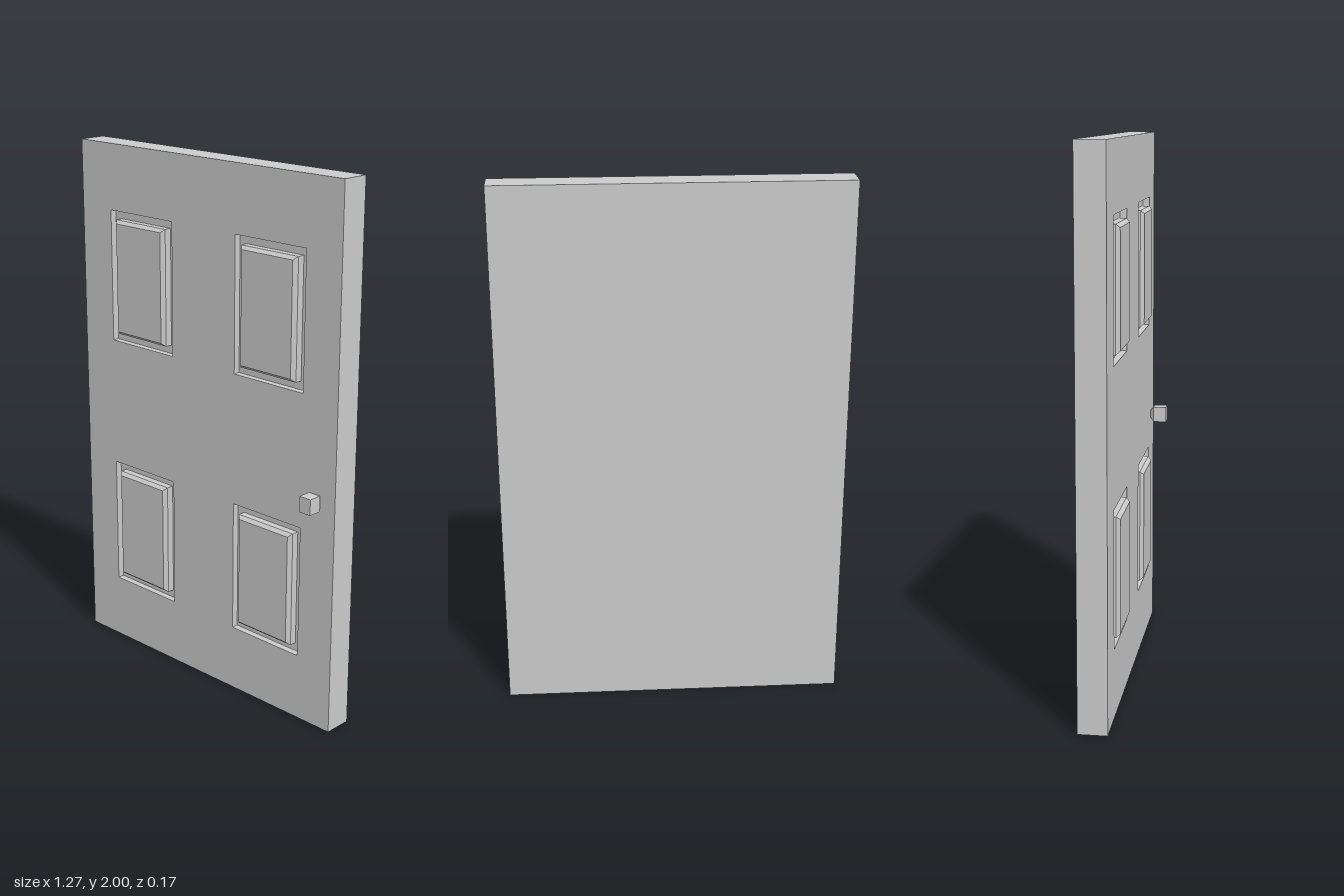
import * as THREE from 'three';

const material = new THREE.MeshStandardMaterial({ color: 0xcccccc, flatShading: true });

const BACK = -0.085, FLOOR = -0.004, FACE = 0.021;
const WIDTH = 1.268, HEIGHT = 2;
const PANEL_X = 0.318, PANEL_YS = [0.503, 1.502];

function addMesh(parent, name, geometry) {
  const mesh = new THREE.Mesh(geometry, material);
  mesh.name = name;
  parent.add(mesh);
  return mesh;
}

// Box along z whose front face may differ in size from its back face
function taperedBox(w0, h0, z0, w1, h1, z1) {
  const geometry = new THREE.BoxGeometry(1, 1, z1 - z0);
  geometry.translate(0, 0, (z0 + z1) / 2);
  const p = geometry.attributes.position;
  const middle = (z0 + z1) / 2;
  for (let i = 0; i < p.count; i++) {
    const front = p.getZ(i) > middle;
    p.setX(i, p.getX(i) * (front ? w1 : w0));
    p.setY(i, p.getY(i) * (front ? h1 : h0));
  }
  geometry.computeVertexNormals();
  return geometry;
}

function rectangle(target, x, y, w, h) {
  target.moveTo(x - w / 2, y - h / 2);
  target.lineTo(x + w / 2, y - h / 2);
  target.lineTo(x + w / 2, y + h / 2);
  target.lineTo(x - w / 2, y + h / 2);
  target.closePath();
  return target;
}

export function createModel() {
  const door = new THREE.Group();
  door.name = 'door';

  // Solid back of the slab; its front is the floor of the recesses
  addMesh(door, 'slabCore', taperedBox(WIDTH, HEIGHT, BACK, WIDTH, HEIGHT, FLOOR)).position.y = HEIGHT / 2;

  // Front layer with four recess openings
  const face = rectangle(new THREE.Shape(), 0, HEIGHT / 2, WIDTH, HEIGHT);
  for (const side of [-1, 1]) {
    for (const y of PANEL_YS) {
      face.holes.push(rectangle(new THREE.Path(), side * PANEL_X, y, 0.323, 0.502));

      // Raised panel with a bevelled rim
      const panel = new THREE.Group();
      panel.name = (side > 0 ? 'left' : 'right') + (y > 1 ? 'Upper' : 'Lower') + 'Panel';
      panel.position.set(side * PANEL_X, y, 0);
      addMesh(panel, 'panelBase', taperedBox(0.26, 0.438, FLOOR, 0.26, 0.438, 0.023));
      addMesh(panel, 'panelBevel', taperedBox(0.26, 0.438, 0.023, 0.234, 0.414, 0.037));
      door.add(panel);
    }
  }
  const faceGeometry = new THREE.ExtrudeGeometry(face, { depth: FACE - FLOOR, bevelEnabled: false });
  addMesh(door, 'slabFace', faceGeometry).position.z = FLOOR;

  // Square knob on a neck that narrows toward the door
  const knob = new THREE.Group();
  knob.name = 'knob';
  knob.position.set(0.553, 0.877, 0);
  addMesh(knob, 'knobNeck', taperedBox(0.022, 0.028, FACE, 0.049, 0.059, 0.034));
  addMesh(knob, 'knobHead', taperedBox(0.049, 0.059, 0.034, 0.049, 0.059, 0.085));
  door.add(knob);

  return door;
}
